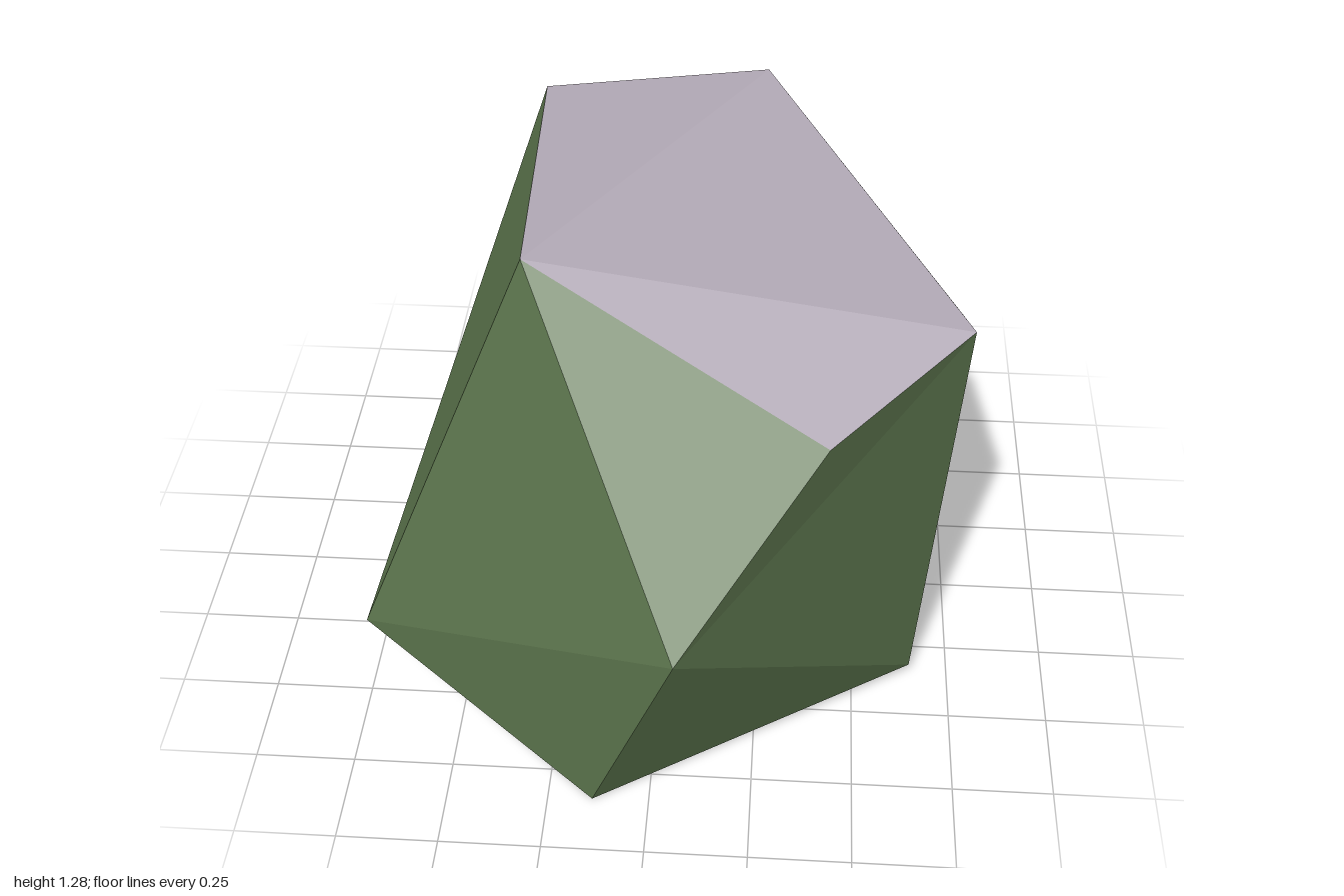
import * as THREE from 'three';

// Corners of the boulder
const P = {
  topLeft: [-0.32, 1.285, 0.38], topRight: [0.73, 1.13, 0.38], brow: [0.40, 1.045, 0.73],
  nose: [0.07, 0.62, 1.0], side: [0.77, 0.605, -0.47],
  backRight: [0.22, 1.225, -0.67], backLeft: [-0.375, 1.18, -0.62],
  baseLeft: [-0.77, 0.15, 0.40], baseFront: [-0.14, 0, 0.84], baseRight: [0.65, 0.03, 0.35],
  baseBack: [0.22, 0.05, -1.0], baseCorner: [-0.57, 0.17, -0.84],
};

// Flat facets, each wound to face away from the middle of the boulder
function facets(name, material, triangles) {
  const centre = new THREE.Vector3(0, 0.6, 0);
  const points = [];
  for (const names of triangles) {
    const [a, b, c] = names.split(' ').map((n) => new THREE.Vector3(...P[n]));
    const normal = b.clone().sub(a).cross(c.clone().sub(a));
    const outward = normal.dot(a.clone().sub(centre)) > 0;
    points.push(...(outward ? [a, b, c] : [a, c, b]));
  }
  const geometry = new THREE.BufferGeometry().setFromPoints(points);
  geometry.computeVertexNormals();
  const mesh = new THREE.Mesh(geometry, material);
  mesh.name = name;
  return mesh;
}

export function createModel() {
  const moss = new THREE.MeshStandardMaterial({ color: 0x5b744c });
  moss.name = 'mossGreen';
  const stone = new THREE.MeshStandardMaterial({ color: 0xb4abb8 });
  stone.name = 'paleStone';

  const boulder = new THREE.Group();
  boulder.name = 'boulder';
  boulder.add(
    // Bare top
    facets('bareTop', stone, [
      'topLeft topRight backRight', 'topLeft backRight backLeft', 'topLeft brow topRight',
    ]),
    // Bare patch on the side
    facets('bareSide', stone, ['topRight baseRight side']),
    // Mossy front
    facets('mossyFront', moss, [
      'topLeft nose brow', 'topLeft baseLeft nose', 'baseLeft baseFront nose',
      'nose baseFront baseRight', 'nose baseRight topRight', 'nose topRight brow',
    ]),
    // Mossy sides and back
    facets('mossySides', moss, [
      'topRight side backRight', 'side baseBack backRight', 'baseRight baseBack side',
      'backRight baseBack backLeft', 'backLeft baseBack baseCorner',
      'backLeft baseCorner baseLeft', 'backLeft baseLeft topLeft',
    ]),
    // Underside
    facets('underside', moss, [
      'baseFront baseRight baseBack', 'baseFront baseBack baseCorner', 'baseFront baseCorner baseLeft',
    ]),
  );
  return boulder;
}
